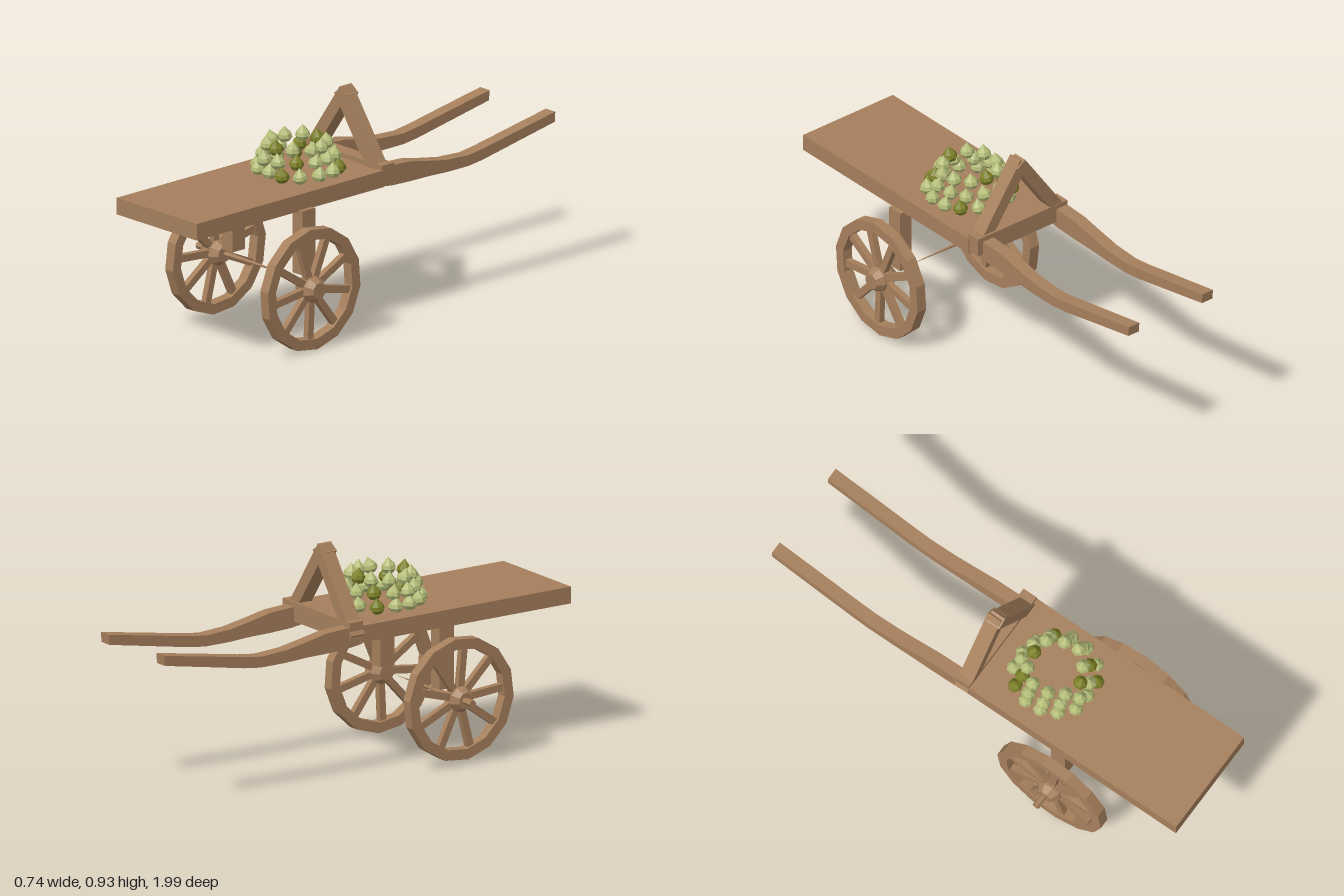
import * as THREE from 'three';

const mat = (name, color) => {
  const m = new THREE.MeshStandardMaterial({ color, flatShading: true });
  m.name = name;
  return m;
};

export function createModel() {
  const cart = new THREE.Group();
  cart.name = 'handcart';
  const wood = mat('wood', 0xa57f5c);
  const pale = mat('paleGreen', 0xb4bd78);
  const olive = mat('olive', 0x7b8026);

  const add = (parent, name, geometry, material = wood) => {
    const mesh = new THREE.Mesh(geometry, material);
    mesh.name = name;
    parent.add(mesh);
    return mesh;
  };
  // Box given by its lowest and highest corners
  const box = (name, a, b) => {
    const g = new THREE.BoxGeometry(b[0] - a[0], b[1] - a[1], b[2] - a[2]);
    g.translate((a[0] + b[0]) / 2, (a[1] + b[1]) / 2, (a[2] + b[2]) / 2);
    return add(cart, name, g);
  };
  // Shape drawn in (-z, y), given thickness along x and centred on x = 0
  const sideExtrude = (shape, depth) =>
    new THREE.ExtrudeGeometry(shape, { depth, bevelEnabled: false })
      .translate(0, 0, -depth / 2).rotateY(Math.PI / 2);

  // Bed, cross beam and wheel posts
  box('bed', [-0.228, 0.565, -0.03], [0.243, 0.635, 1]);
  box('crossBeam', [-0.228, 0.575, -0.085], [0.24, 0.655, -0.02]);
  box('rightPost', [-0.208, 0.3, 0.37], [-0.148, 0.57, 0.44]);
  box('leftPost', [0.205, 0.3, 0.37], [0.265, 0.57, 0.44]);

  // Curved pulling handles: [distance behind the centre, bottom, top]
  const bend = [[0.02, 0.56, 0.635], [0.1, 0.55, 0.635], [0.2, 0.546, 0.63],
    [0.3, 0.545, 0.61], [0.4, 0.54, 0.592], [0.52, 0.54, 0.585],
    [0.6, 0.55, 0.595], [0.8, 0.587, 0.63], [0.99, 0.622, 0.664]];
  const outline = [
    ...bend.map(([d, low]) => new THREE.Vector2(d, low)),
    ...bend.map(([d, , top]) => new THREE.Vector2(d + 0.004 * (top > 0.66 ? 2 : 0) - 0.005, top)).reverse(),
  ];
  for (const [name, x] of [['rightHandle', -0.198], ['leftHandle', 0.188]]) {
    add(cart, name, sideExtrude(new THREE.Shape(outline), 0.055)).position.x = x;
  }

  // Crossed beams of the A-frame
  for (const s of [-1, 1]) {
    const from = new THREE.Vector3(s * 0.218, 0.588, 0);
    const to = new THREE.Vector3(s * -0.012, 0.917, 0);
    const beam = add(cart, s < 0 ? 'rightFrameBeam' : 'leftFrameBeam',
      new THREE.BoxGeometry(0.052, from.distanceTo(to), 0.064));
    beam.position.lerpVectors(from, to, 0.5);
    beam.position.z = -0.047 + s * 0.004;
    beam.rotation.z = Math.atan2(from.x - to.x, to.y - from.y);
  }

  // Spoked wheels
  const ring = (r, n) => Array.from({ length: n }, (_, i) => {
    const a = (i / n) * Math.PI * 2;
    return new THREE.Vector2(r * Math.cos(a), r * Math.sin(a));
  });
  const hubProfile = [[0, -0.053], [0.035, -0.053], [0.054, -0.022],
    [0.054, 0.022], [0.035, 0.053], [0, 0.053]].map(([r, y]) => new THREE.Vector2(r, y));
  const makeWheel = (name, x, y, z, turn) => {
    const wheel = new THREE.Group();
    wheel.name = name;
    const rim = new THREE.Shape(ring(0.256, 14));
    rim.holes.push(new THREE.Path(ring(0.212, 14).reverse()));
    add(wheel, 'rim', sideExtrude(rim, 0.046));
    add(wheel, 'hub', new THREE.LatheGeometry(hubProfile, 9).rotateZ(-Math.PI / 2));
    for (let i = 0; i < 9; i++) {
      const spoke = new THREE.BoxGeometry(0.026, 0.18, 0.03).translate(0, 0.127, 0);
      add(wheel, 'spoke', spoke).rotation.x = (i / 9) * Math.PI * 2;
    }
    wheel.position.set(x, y, z);
    wheel.rotation.x = turn;
    cart.add(wheel);
  };
  makeWheel('rightWheel', -0.268, 0.272, 0.42, 0.1);
  makeWheel('leftWheel', 0.308, 0.256, 0.438, 0.3);

  // Tapered axle running to a point
  const axle = add(cart, 'axle',
    new THREE.CylinderGeometry(0, 0.016, 0.54, 6).rotateZ(-Math.PI / 2));
  axle.position.set(-0.105, 0.273, 0.415);

  // Heap of pointed bulbs stacked in three rings
  const bulbShape = new THREE.LatheGeometry([[0, 0], [0.02, 0.004], [0.031, 0.02],
    [0.027, 0.036], [0.012, 0.053], [0, 0.068]].map(([r, y]) => new THREE.Vector2(r, y)), 7);
  const heap = new THREE.Group();
  heap.name = 'bulbHeap';
  heap.position.set(0.015, 0.635, 0.235);
  cart.add(heap);
  let seed = 7;
  const rand = () => (seed = (seed * 16807) % 2147483647) / 2147483647 - 0.5;
  const tiers = [[14, 0.165, 0.002, [1, 5, 9]], [12, 0.142, 0.049, [1, 7]], [10, 0.115, 0.095, [9, 4]]];
  tiers.forEach(([count, radius, y, dark], t) => {
    for (let i = 0; i < count; i++) {
      const a = ((i + t * 0.5) / count) * Math.PI * 2;
      const r = radius + rand() * 0.015;
      const isDark = dark.includes(i);
      const bulb = add(heap, isDark ? 'oliveBulb' : 'bulb', bulbShape, isDark ? olive : pale);
      bulb.position.set(r * Math.sin(a), y + rand() * 0.004, r * Math.cos(a));
      bulb.rotation.set(rand() * 0.3, rand() * 6, rand() * 0.3);
    }
  });

  return cart;
}
